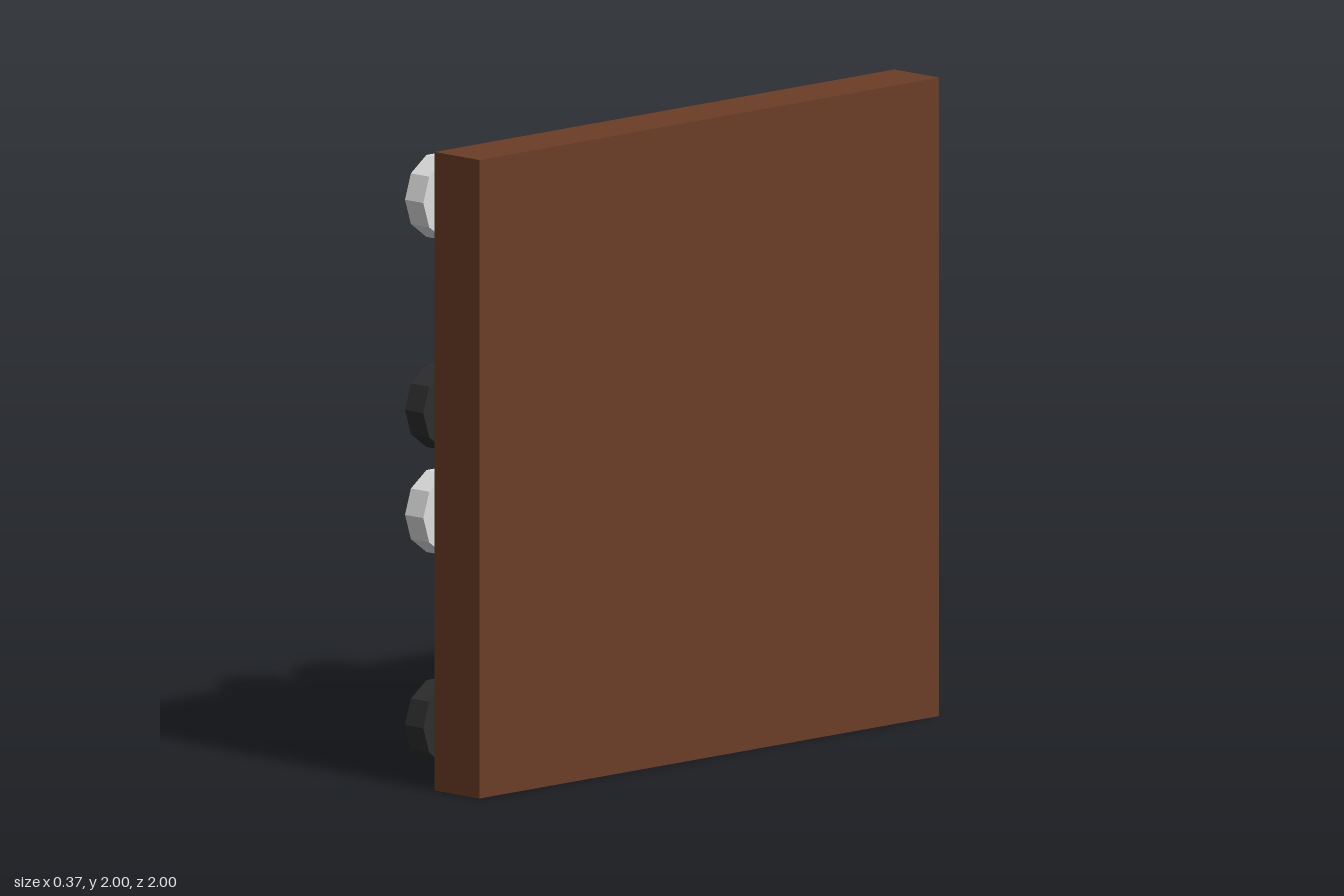
import * as THREE from 'three';

const material = (name, color) => {
  const m = new THREE.MeshStandardMaterial({ color });
  m.name = name;
  return m;
};

export function createModel() {
  const group = new THREE.Group();
  const wood = material('wood', 0x6b3e26);
  const lightSquare = material('light square', 0xd8c8a0);
  const darkSquare = material('dark square', 0xa07850);
  const white = material('white', 0xdddddd);
  const black = material('black', 0x2e2e2e);

  const add = (name, geometry, mat, x, y, z) => {
    const mesh = new THREE.Mesh(geometry, mat);
    mesh.name = name;
    mesh.position.set(x, y, z);
    group.add(mesh);
  };

  // Slab standing on edge, with a small chamfer around its playing side
  add('board', new THREE.BoxGeometry(0.195, 2, 2), wood, 0.0825, 1, 0);
  const chamfer = new THREE.BoxGeometry(0.01, 2, 2);
  const p = chamfer.attributes.position;
  for (let i = 0; i < p.count; i++) {
    if (p.getX(i) < 0) p.setXYZ(i, p.getX(i), p.getY(i) * 0.985, p.getZ(i) * 0.985);
  }
  const chamferFlat = chamfer.toNonIndexed();
  chamferFlat.computeVertexNormals();
  add('boardChamfer', chamferFlat, wood, -0.02, 1, 0);

  // Six by six raised squares, each with a thin coloured face
  const pitch = 0.329;
  const rowY = (r) => 1 + (2.5 - r) * pitch; // row 0 is the top
  const colZ = (c) => (c - 2.5) * pitch; // column 0 is the back
  const tile = new THREE.BoxGeometry(0.016, 0.296, 0.296);
  const face = new THREE.BoxGeometry(0.005, 0.288, 0.288);
  for (let r = 0; r < 6; r++) {
    for (let c = 0; c < 6; c++) {
      const mat = (r + c) % 2 ? darkSquare : lightSquare;
      add('tileBase', tile, wood, -0.032, rowY(r), colZ(c));
      add('tileFace', face, mat, -0.0425, rowY(r), colZ(c));
    }
  }

  // Ten-sided discs around the rim: [row, column, colour]
  const disc = new THREE.CylinderGeometry(0.135, 0.135, 0.08, 10).toNonIndexed();
  disc.rotateZ(Math.PI / 2);
  disc.computeVertexNormals();
  const pieces = [
    [0, 0, black], [0, 2, white], [0, 3, black], [0, 5, white],
    [2, 0, white], [2, 5, black], [3, 0, black], [3, 5, white],
    [5, 0, white], [5, 2, black], [5, 3, white], [5, 5, black],
  ];
  for (const [r, c, mat] of pieces) {
    add(mat === white ? 'whitePiece' : 'blackPiece', disc, mat, -0.147, rowY(r), colZ(c));
  }

  return group;
}
